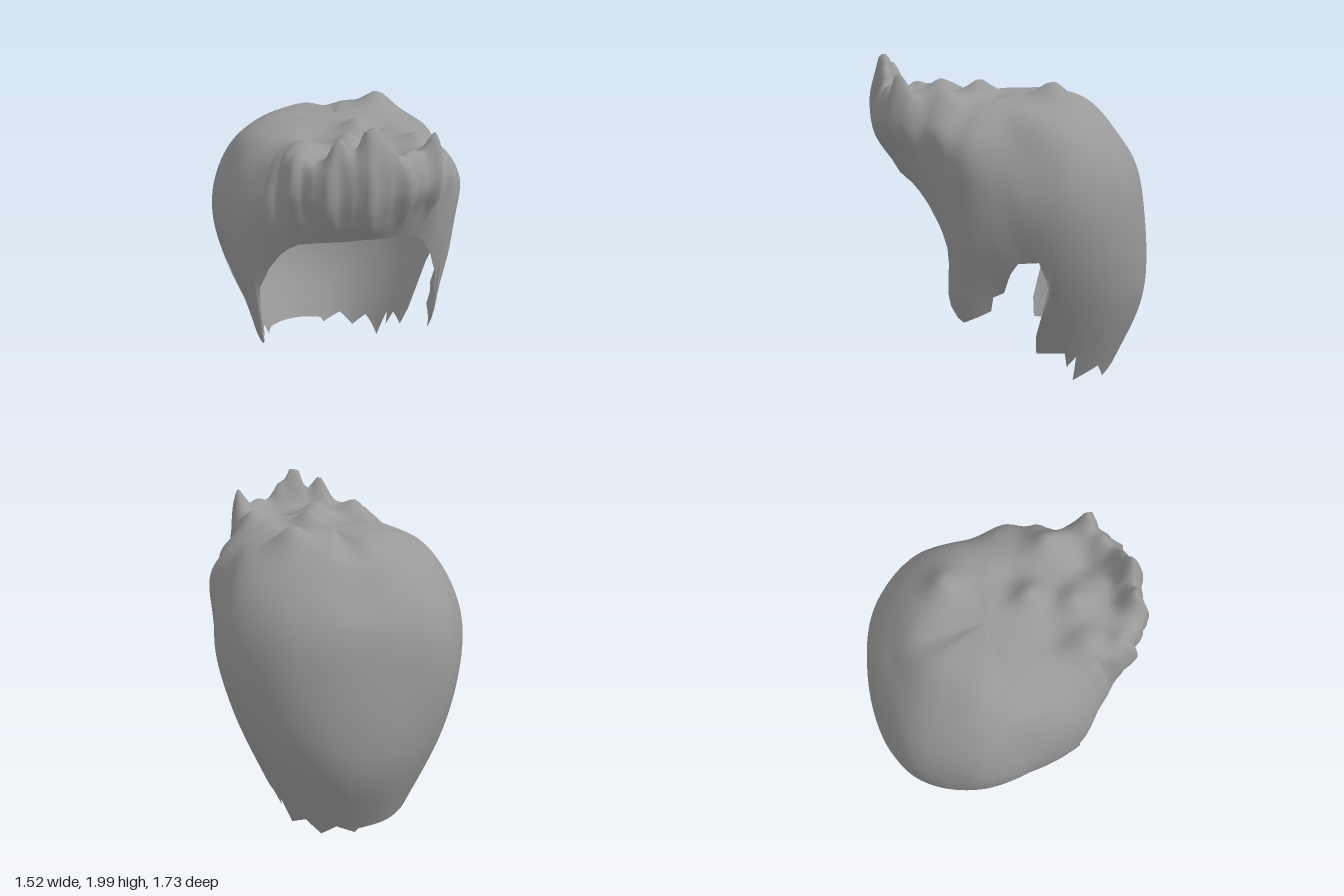
import * as THREE from 'three';

const AXIS_Z = -0.1, CROWN_Y = 1.78, STEP = 2, ROWS = 52;

// Half-shell meridians: azimuth from the front, then radius/height pairs from crown to hem
const MERIDIANS = [
  [0, 0.4, 1.77, 0.72, 1.77, 0.91, 1.77, 0.93, 1.6, 0.87, 1.42, 0.79, 1.29],
  [32, 0.35, 1.77, 0.62, 1.77, 0.8, 1.74, 0.87, 1.6, 0.82, 1.42, 0.74, 1.19],
  [45, 0.3, 1.77, 0.52, 1.75, 0.69, 1.67, 0.77, 1.5, 0.76, 1.25, 0.7, 0.95],
  [55, 0.3, 1.77, 0.5, 1.73, 0.65, 1.62, 0.76, 1.4, 0.76, 1.05, 0.63, 0.4],
  [75, 0.3, 1.77, 0.52, 1.7, 0.65, 1.55, 0.73, 1.3, 0.72, 0.95, 0.54, 0.4],
  [90, 0.35, 1.76, 0.56, 1.67, 0.68, 1.45, 0.75, 1.15, 0.68, 0.8, 0.44, 0.2],
  [110, 0.38, 1.76, 0.6, 1.62, 0.73, 1.42, 0.79, 1.15, 0.72, 0.75, 0.43, 0.1],
  [135, 0.36, 1.75, 0.6, 1.57, 0.73, 1.36, 0.78, 1.05, 0.73, 0.6, 0.46, 0],
  [160, 0.38, 1.73, 0.58, 1.54, 0.7, 1.34, 0.755, 1.05, 0.75, 0.55, 0.53, 0],
  [180, 0.42, 1.68, 0.58, 1.5, 0.68, 1.34, 0.735, 1.1, 0.745, 0.5, 0.53, 0],
];

// Hem height by azimuth: face opening, sideburn, ear notch, then the ragged nape of each side
const FACE_HEM = [[0, 1.3], [16, 1.28], [26, 1.25], [32, 1.2], [38, 1.12], [44, 1.02], [50, 0.87], [52, 0.72],
  [54, 0.46], [56, 0.43], [70, 0.51], [72, 0.6], [78, 0.63], [82, 0.75], [86, 0.82], [96, 0.83],
  [100, 0.72], [102, 0.62], [104, 0.34], [106, 0.22]];
const LEFT_NAPE = [[118, 0.22], [122, 0.12], [126, 0.19], [130, 0.02], [146, 0.1], [156, 0.01], [166, 0.08], [180, 0.01]];
const RIGHT_NAPE = [[120, 0.2], [122, 0.13], [132, 0.13], [158, 0.08], [180, 0.05]];

// Tufts and hollows on top: x, z, height, radius
const TUFTS = [
  [0.03, 0.77, 0.25, 0.1], [-0.13, 0.74, 0.17, 0.11], [0.14, 0.75, 0.13, 0.1], [0.45, 0.65, 0.17, 0.12],
  [0.29, 0.7, 0.06, 0.1], [-0.33, 0.6, 0.04, 0.1], [-0.02, 0.42, 0.08, 0.14], [0.42, 0.38, 0.07, 0.14],
  [0.08, 0.18, 0.08, 0.14], [0.3, -0.27, 0.08, 0.16], [-0.28, 0.42, 0.05, 0.16], [0.2, 0.55, -0.07, 0.15],
  [-0.2, 0.25, -0.03, 0.16], [0.22, 0.1, -0.03, 0.16],
];

// Uneven fullness of the sides: azimuth, height, added radius, azimuth spread, height spread
const BULGES = [
  [25, 1.68, 0.05, 9, 0.2], [50, 1.58, 0.06, 6, 0.12], [64, 1.5, 0.07, 10, 0.22],
  [-142, 1.1, 0.045, 16, 0.4], [142, 1.1, 0.01, 16, 0.4], [-36, 1.62, -0.07, 9, 0.2],
];
const bump = (value, centre, spread) => Math.exp(-(((value - centre) / spread) ** 2));

// Smooth interpolation of the meridian table across azimuth
function meridianAt(az) {
  const last = MERIDIANS.length - 1;
  let i = 0;
  while (i < last - 1 && MERIDIANS[i + 1][0] < az) i++;
  const a = MERIDIANS[i], b = MERIDIANS[i + 1], span = b[0] - a[0], u = (az - a[0]) / span;
  const slope = (k, c) => (k === 0 || k === last ? 0
    : (MERIDIANS[k + 1][c] - MERIDIANS[k - 1][c]) / (MERIDIANS[k + 1][0] - MERIDIANS[k - 1][0]));
  const value = (c) => {
    const u2 = u * u, u3 = u2 * u;
    return a[c] * (2 * u3 - 3 * u2 + 1) + slope(i, c) * span * (u3 - 2 * u2 + u)
      + b[c] * (3 * u2 - 2 * u3) + slope(i + 1, c) * span * (u3 - u2);
  };
  const points = [new THREE.Vector3(0, CROWN_Y, 0)];
  for (let c = 1; c < a.length; c += 2) points.push(new THREE.Vector3(value(c), value(c + 1), 0));
  return new THREE.CatmullRomCurve3(points, false, 'centripetal');
}

function hemAt(table, az) {
  let i = 0;
  while (i < table.length - 2 && table[i + 1][0] < az) i++;
  const [a0, y0] = table[i], [a1, y1] = table[i + 1];
  return y0 + (y1 - y0) * (az - a0) / (a1 - a0);
}

// Curve parameter at which a meridian reaches the hem
function cutAt(curve, y) {
  let low = 0.5, high = 1;
  for (let k = 0; k < 18; k++) {
    const mid = (low + high) / 2;
    if (curve.getPoint(mid).y > y) low = mid; else high = mid;
  }
  return high;
}

function hairGeometry() {
  const smooth = THREE.MathUtils.smoothstep;
  const columns = 360 / STEP, positions = [0, CROWN_Y, AXIS_Z], index = [];
  const vertex = (i, j) => (j === 0 ? 0 : 1 + (i % columns) * ROWS + j - 1);
  for (let i = 0; i < columns; i++) {
    const az = -180 + i * STEP, side = Math.abs(az), rad = THREE.MathUtils.degToRad(az);
    const curve = meridianAt(side);
    const hem = hemAt([...FACE_HEM, ...(az > 0 ? LEFT_NAPE : RIGHT_NAPE)], side);
    const cut = cutAt(curve, hem);
    const forelock = 1 - smooth(side, 32, 50);
    for (let j = 1; j <= ROWS; j++) {
      const p = curve.getPoint(cut * j / ROWS);
      const upper = smooth(p.y, 1.32, 1.52), outer = smooth(p.x, 0.45, 0.75);
      // Vertical locks across the forelock, then the uneven fullness
      let r = p.x + forelock * upper * outer * (0.018 * Math.sin(az * 0.42 + 1) + 0.012 * Math.sin(az * 0.9));
      for (const [a, h, dr, da, dh] of BULGES) r += dr * bump(az, a, da) * bump(p.y, h, dh) * smooth(p.x, 0.3, 0.65);
      const x = r * Math.sin(rad);
      // Sideburn and the nape corner behind the ear both sweep forward
      const z = AXIS_Z + r * Math.cos(rad) + 0.07 * bump(side, 52, 7) * bump(p.y, 0.58, 0.13)
        + 0.07 * bump(side, 104, 8) * (1 - smooth(p.y, 0.3, 0.6));
      let y = p.y;
      for (const [tx, tz, h, w] of TUFTS) {
        const d = Math.hypot(x - tx, z - tz) / w;
        if (d < 1.5) y += h * Math.exp(-2.5 * d * d) * smooth(p.y, 1.5, 1.75);
      }
      positions.push(x, Math.min(y, 2), z);
    }
    for (let j = 0; j < ROWS; j++) {
      const a = vertex(i, j), b = vertex(i, j + 1), c = vertex(i + 1, j), d = vertex(i + 1, j + 1);
      index.push(a, b, d);
      if (j > 0) index.push(a, d, c);
    }
  }
  const geometry = new THREE.BufferGeometry();
  geometry.setAttribute('position', new THREE.Float32BufferAttribute(positions, 3));
  geometry.setIndex(index);
  geometry.computeVertexNormals();
  return geometry;
}

export function createModel() {
  const group = new THREE.Group();
  group.name = 'hairpiece';
  const material = new THREE.MeshStandardMaterial({ color: 0x999999, side: THREE.DoubleSide });
  material.name = 'hair grey';
  const hair = new THREE.Mesh(hairGeometry(), material);
  hair.name = 'hairShell';
  group.add(hair);
  return group;
}
